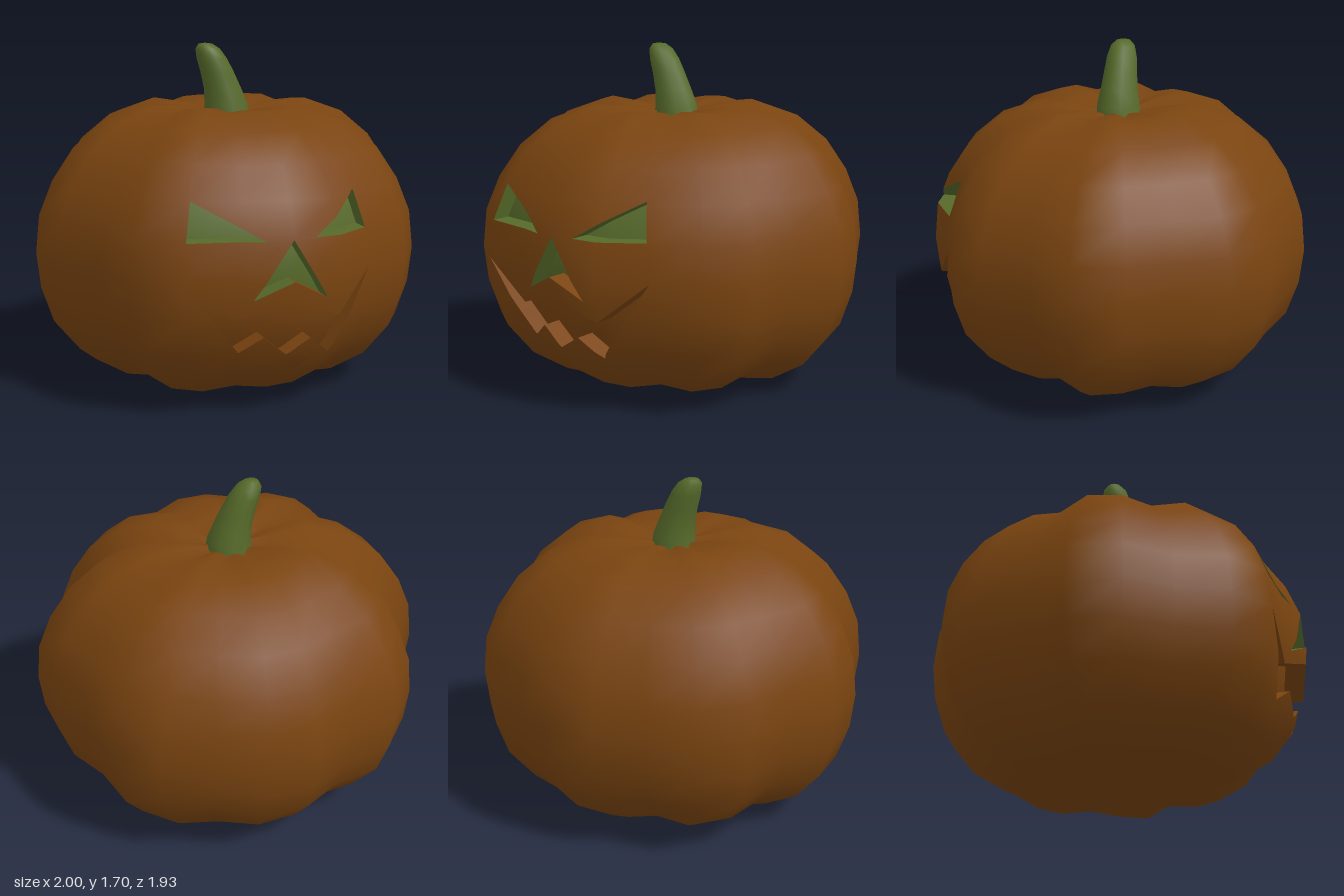
import * as THREE from 'three';
import { mergeVertices } from 'three/addons/utils/BufferGeometryUtils.js';

const DEPTH = 0.1; // depth of the carving

// Body profile: [radius, height] from bottom to top
const PROFILE = [[0, 0.07], [0.12, 0.04], [0.22, 0.012], [0.38, 0.012], [0.61, 0.06], [0.79, 0.17],
  [0.92, 0.33], [0.98, 0.51], [1, 0.69], [0.98, 0.88], [0.91, 1.05], [0.8, 1.21], [0.64, 1.34],
  [0.43, 1.415], [0.24, 1.4], [0.1, 1.375], [0, 1.36]];

// Eight uneven lobes, three columns each; the third column is the groove
const LOBES = [1, 0.968, 0.92, 0.987, 0.985, 0.934, 0.97, 0.958, 0.908, 0.987, 0.971, 0.902,
  1, 0.985, 0.912, 0.998, 0.993, 0.926, 0.96, 0.956, 0.9, 0.972, 0.961, 0.888];

// Carved outlines, counter-clockwise in x, y
const CUTS = [
  { name: 'rightEye', color: 'green', pts: [[-0.48, 0.877], [-0.118, 0.872], [-0.44, 1.055]] },
  { name: 'leftEye', color: 'green', pts: [[0.112, 0.882], [0.428, 0.877], [0.385, 1.055]] },
  { name: 'nose', color: 'green', fleshEdge: 2, pts: [[0, 0.88], [-0.18, 0.6], [0, 0.69], [0.176, 0.595]] },
  { name: 'mouth', color: 'orange', pts: [[-0.497, 0.69], [-0.225, 0.337], [-0.118, 0.417], [-0.01, 0.326],
    [0.107, 0.4], [0.22, 0.305], [0.45, 0.69], [0.24, 0.5], [0, 0.6], [-0.246, 0.508]] },
];

// Smooth ribbed body as an indexed grid
function bodyGrid() {
  const pos = [], index = [], n = LOBES.length;
  for (const [r, y] of PROFILE) {
    LOBES.forEach((k, i) => {
      const a = (i / n) * Math.PI * 2;
      const ky = r === 0 ? 1 : 1 - (1 - k) * 0.45;
      pos.push(Math.cos(a) * r * k, 0.7 + (y - 0.7) * ky, -Math.sin(a) * r * k);
    });
  }
  const last = PROFILE.length - 2;
  for (let j = 0; j <= last; j++) {
    for (let i = 0; i < n; i++) {
      const a = j * n + i, b = j * n + (i + 1) % n, c = b + n, d = a + n;
      if (j > 0) index.push(a, b, c);
      if (j < last) index.push(a, c, d);
      if (j === 0) index.push(a, c, d);
      if (j === last) index.push(a, b, d);
    }
  }
  // the fan rows use one triangle per column
  const clean = [];
  for (let t = 0; t < index.length; t += 3) clean.push(...index.slice(t, t + 3));
  let geo = new THREE.BufferGeometry();
  geo.setAttribute('position', new THREE.Float32BufferAttribute(pos, 3));
  geo.setIndex(clean);
  geo = mergeVertices(geo, 1e-5);
  geo.computeVertexNormals();
  return geo;
}

// Splits a polygon of [x, y, z, nx, ny, nz] by the line a-b into left and right parts
function split(poly, a, b) {
  const left = [], right = [];
  const dist = v => (b[0] - a[0]) * (v[1] - a[1]) - (b[1] - a[1]) * (v[0] - a[0]);
  poly.forEach((p, i) => {
    const q = poly[(i + 1) % poly.length], dp = dist(p), dq = dist(q);
    if (dp >= 0) left.push(p);
    if (dp <= 0) right.push(p);
    if (dp * dq < 0) {
      const t = dp / (dp - dq), m = p.map((v, k) => v + (q[k] - v) * t);
      left.push(m);
      right.push(m);
    }
  });
  return [left, right];
}

// Collects polygons as a triangle soup
class Soup {
  constructor() { this.pos = []; this.nor = []; }
  add(poly) {
    for (let i = 1; i + 1 < poly.length; i++) {
      for (const v of [poly[0], poly[i], poly[i + 1]]) {
        this.pos.push(v[0], v[1], v[2]);
        this.nor.push(v[3], v[4], v[5]);
      }
    }
  }
  mesh(name, material) {
    const g = new THREE.BufferGeometry();
    g.setAttribute('position', new THREE.Float32BufferAttribute(this.pos, 3));
    g.setAttribute('normal', new THREE.Float32BufferAttribute(this.nor, 3));
    const m = new THREE.Mesh(g, material);
    m.name = name;
    return m;
  }
}

const back = v => [v[0], v[1], v[2] - DEPTH, v[3], v[4], v[5]];

// Index of the outline edge on which the segment p-q lies, or -1
function edgeOf(pts, p, q) {
  const x = (p[0] + q[0]) / 2, y = (p[1] + q[1]) / 2;
  return pts.findIndex((a, i) => {
    const b = pts[(i + 1) % pts.length], dx = b[0] - a[0], dy = b[1] - a[1], len = Math.hypot(dx, dy);
    const off = v => Math.abs(dx * (v[1] - a[1]) - dy * (v[0] - a[0])) / len;
    const t = ((x - a[0]) * dx + (y - a[1]) * dy) / (len * len);
    return off(p) < 1e-6 && off(q) < 1e-6 && t > 0 && t < 1;
  });
}

// Wall of the carving behind the rim segment p-q, facing into the opening
function wall(p, q) {
  const len = Math.hypot(q[0] - p[0], q[1] - p[1]) || 1;
  const n = [-(q[1] - p[1]) / len, (q[0] - p[0]) / len, 0];
  return [p, q, back(q), back(p)].map(v => [v[0], v[1], v[2], ...n]);
}

function buildStem(material) {
  const pts = [[0.118, 1.33], [0.11, 1.4], [0.095, 1.48], [0.085, 1.56], [0.077, 1.63], [0.062, 1.68],
    [0.035, 1.705], [0, 1.71]].map(p => new THREE.Vector2(...p));
  let g = new THREE.LatheGeometry(pts, 10);
  const p = g.attributes.position;
  for (let i = 0; i < p.count; i++) { // bend towards -x
    const t = Math.max(0, (p.getY(i) - 1.38) / 0.33);
    p.setX(i, p.getX(i) - 0.115 * Math.pow(t, 1.4));
  }
  g.deleteAttribute('uv');
  g.deleteAttribute('normal');
  g = mergeVertices(g, 1e-5);
  g.computeVertexNormals();
  const stem = new THREE.Mesh(g, material);
  stem.name = 'stem';
  return stem;
}

export function createModel() {
  const group = new THREE.Group();
  group.name = 'carvedPumpkin';
  const mats = {
    orange: new THREE.MeshStandardMaterial({ color: 0x7a4410 }),
    green: new THREE.MeshStandardMaterial({ color: 0x566a2a }),
  };
  mats.orange.name = 'pumpkinOrange';
  mats.green.name = 'stemGreen';

  const shell = new Soup(), flesh = new Soup();
  const cuts = CUTS.map(c => {
    const v = c.pts.map(p => new THREE.Vector2(...p));
    const tris = THREE.ShapeUtils.triangulateShape(v, []).map(f => {
      const t = f.map(i => c.pts[i]);
      const area = (t[1][0] - t[0][0]) * (t[2][1] - t[0][1]) - (t[1][1] - t[0][1]) * (t[2][0] - t[0][0]);
      return area < 0 ? t.reverse() : t;
    });
    return { ...c, tris, soup: new Soup() };
  });

  // Cut the openings out of the front and sink the pieces to form their floors
  const grid = bodyGrid(), P = grid.attributes.position, N = grid.attributes.normal, I = grid.index.array;
  for (let f = 0; f < I.length; f += 3) {
    const tri = [I[f], I[f + 1], I[f + 2]].map(i =>
      [P.getX(i), P.getY(i), P.getZ(i), N.getX(i), N.getY(i), N.getZ(i)]);
    let rest = [tri];
    if (tri.every(v => v[2] > 0.35 && v[1] > 0.1 && v[1] < 1.3)) {
      for (const cut of cuts) for (const t of cut.tris) {
        const next = [];
        for (const poly of rest) {
          const outside = [];
          let inside = poly;
          for (let k = 0; k < 3 && inside.length > 2; k++) {
            const [l, r] = split(inside, t[k], t[(k + 1) % 3]);
            if (r.length > 2) outside.push(r);
            inside = l;
          }
          if (inside.length < 3) { next.push(poly); continue; }
          next.push(...outside);
          cut.soup.add(inside.map(back));
          inside.forEach((p, i) => {
            const q = inside[(i + 1) % inside.length], e = edgeOf(cut.pts, p, q);
            if (e >= 0) (e === cut.fleshEdge ? flesh : cut.soup).add(wall(p, q));
          });
        }
        rest = next;
      }
    }
    rest.forEach(p => shell.add(p));
  }

  group.add(shell.mesh('body', mats.orange), flesh.mesh('noseLowerWall', mats.orange));
  cuts.forEach(c => group.add(c.soup.mesh(c.name, mats[c.color])));
  group.add(buildStem(mats.green));
  return group;
}
